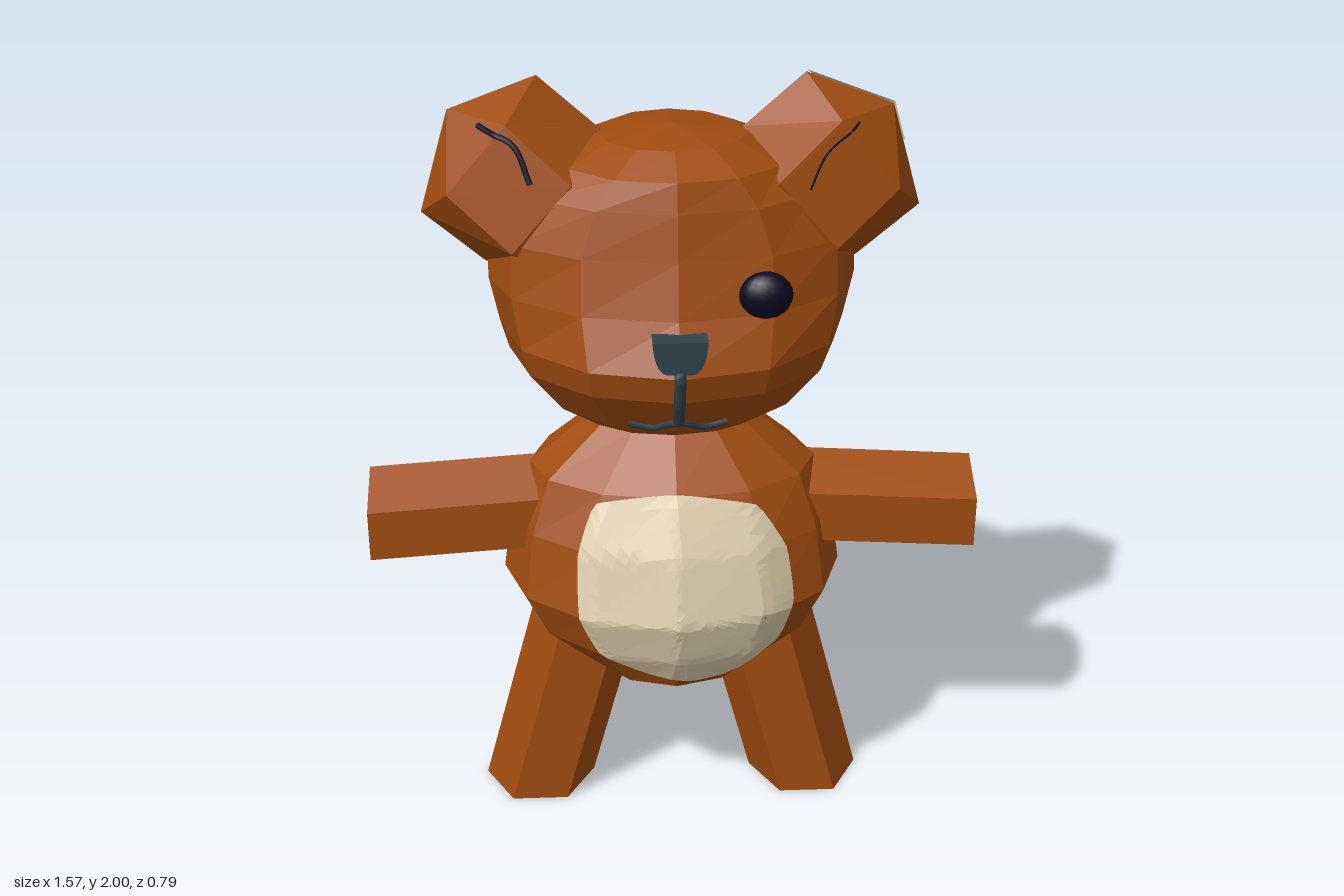
import * as THREE from 'three';

const mat = (name, color) => {
  const m = new THREE.MeshStandardMaterial({ color });
  m.name = name;
  return m;
};

// Skin a stack of point rings (counterclockwise around the stacking axis), closing both ends.
function loft(rings, side = 1) {
  const pos = [];
  const tri = (a, b, c) => {
    for (const p of side > 0 ? [a, b, c] : [a, c, b]) pos.push(p.x * side, p.y, p.z);
  };
  const n = rings[0].length;
  const mid = r => r.reduce((s, p) => s.add(p), new THREE.Vector3()).divideScalar(n);
  const first = rings[0], last = rings[rings.length - 1];
  const c0 = mid(first), c1 = mid(last);
  for (let i = 0; i < n; i++) {
    const j = (i + 1) % n;
    tri(c0, first[j], first[i]);
    tri(c1, last[i], last[j]);
    for (let k = 0; k + 1 < rings.length; k++) {
      const a = rings[k], b = rings[k + 1];
      tri(a[i], a[j], b[j]);
      tri(a[i], b[j], b[i]);
    }
  }
  const g = new THREE.BufferGeometry();
  g.setAttribute('position', new THREE.Float32BufferAttribute(pos, 3));
  g.computeVertexNormals();
  return g;
}

const ring = (n, f) => Array.from({ length: n }, (_, i) => f((i / n) * Math.PI * 2));

// Rounded volume from rows of [y, half width, front z, back z].
const blob = rows => loft(rows.map(([y, rx, zf, zb]) => ring(12, t => {
  const c = Math.cos(t);
  return new THREE.Vector3(rx * Math.sin(t), y, c > 0 ? c * zf : -c * zb);
})));

// Height of a mesh's front surface at x, y.
function frontZ(mesh, x, y, fallback = 0.1) {
  const ray = new THREE.Raycaster(new THREE.Vector3(x, y, 3), new THREE.Vector3(0, 0, -1));
  const hit = ray.intersectObject(mesh)[0];
  return hit ? hit.point.z : fallback;
}

export function createModel() {
  const fur = mat('brown fur', 0xa04c10);
  const cream = mat('cream', 0xe0cfae);
  const slate = mat('slate', 0x2f424b);
  const navy = mat('dark navy', 0x0b0a22);
  fur.flatShading = cream.flatShading = true;
  cream.side = THREE.DoubleSide;

  const model = new THREE.Group();
  model.name = 'bear';
  const add = (name, geometry, material) => {
    const m = new THREE.Mesh(geometry, material);
    m.name = name;
    model.add(m);
    return m;
  };
  // Thin line lying on a mesh's front surface.
  const drawOn = (mesh, name, pts, radius, material) => {
    const curve = new THREE.CatmullRomCurve3(pts.map(([x, y]) => new THREE.Vector3(x, y, 0)));
    const path = new THREE.CatmullRomCurve3(curve.getPoints(12).map(p =>
      p.setZ(frontZ(mesh, p.x, p.y))));
    return add(name, new THREE.TubeGeometry(path, 24, radius, 6), material);
  };

  // Body and head
  const body = add('body', blob([
    [0.32, 0, 0, 0], [0.37, 0.13, 0.12, -0.15], [0.45, 0.24, 0.26, -0.29],
    [0.56, 0.38, 0.32, -0.33], [0.68, 0.445, 0.355, -0.365], [0.85, 0.42, 0.31, -0.33],
    [0.99, 0.37, 0.24, -0.285], [1.12, 0.21, 0.13, -0.18],
  ]), fur);
  const head = add('head', blob([
    [1.1, 0.18, 0.11, -0.15], [1.12, 0.22, 0.14, -0.17], [1.2, 0.32, 0.29, -0.24],
    [1.31, 0.41, 0.37, -0.355], [1.38, 0.43, 0.39, -0.37], [1.5, 0.455, 0.33, -0.385],
    [1.63, 0.45, 0.29, -0.39], [1.74, 0.38, 0.265, -0.365], [1.81, 0.29, 0.245, -0.31],
    [1.86, 0.18, 0.16, -0.2], [1.885, 0, 0, 0],
  ]), fur);

  // Belly patch: a disc draped over the body
  const outline = new THREE.CatmullRomCurve3([
    [0, 1.0], [-0.2, 0.97], [-0.25, 0.84], [-0.25, 0.68], [-0.2, 0.57], [-0.08, 0.5],
    [0.05, 0.47], [0.19, 0.49], [0.27, 0.58], [0.3, 0.7], [0.28, 0.84], [0.2, 0.96],
  ].map(([x, y]) => new THREE.Vector3(x, y, 0)), true, 'catmullrom', 0.2).getPoints(48);
  const disc = new THREE.RingGeometry(0, 1, 48, 10);
  const dp = disc.attributes.position;
  for (let r = 0, i = 0; r <= 10; r++) {
    for (let s = 0; s <= 48; s++, i++) {
      const x = THREE.MathUtils.lerp(0.02, outline[s].x, r / 10);
      const y = THREE.MathUtils.lerp(0.72, outline[s].y, r / 10);
      dp.setXYZ(i, x, y, frontZ(body, x, y) + 0.007);
    }
  }
  add('bellyPatch', disc, cream);

  // Ear rings run along an axis that leans outward: [along, radius, depth scale]
  const axis = new THREE.Vector3(0.755, 0.655, 0), up = new THREE.Vector3(-0.655, 0.755, 0);
  const earPoint = (s, t, z) => new THREE.Vector3(0.4, 1.77, z - 0.025)
    .addScaledVector(axis, s).addScaledVector(up, t);
  const earRings = [[-0.24, 0.16, 1], [-0.11, 0.22, 1], [0.09, 0.222, 0.7], [0.2, 0, 0]]
    .map(([s, r, d]) => ring(6, a =>
      earPoint(s, r * Math.cos(a) + (s === 0.2 ? 0.02 : 0), r * d * Math.sin(a))));
  const ears = {};

  for (const [label, side] of [['left', 1], ['right', -1]]) {
    ears[label] = add(label + 'Ear', loft(earRings, side), fur);

    // Six-sided arm and leg
    add(label + 'Arm', loft([[0.25, 0.87], [0.785, 0.835]].map(([x, y]) => ring(6, a =>
      new THREE.Vector3(x, y + 0.135 * Math.cos(a), -0.02 + 0.156 * Math.sin(a)))), side), fur);
    add(label + 'Leg', loft([[0, 0.37], [0.6, 0.21]].map(([y, x]) => ring(6, a => {
      const t = a + Math.PI / 6;
      return new THREE.Vector3(x + 0.15 * Math.sin(t), y, -0.02 + 0.156 * Math.cos(t));
    })), side), fur);
  }

  // Cream patch on the back of the left ear tip
  const rim = earRings[2], tip = earRings[3][0];
  const fan = [
    rim[3].clone().lerp(tip, 0.62), rim[5].clone().lerp(rim[4], 0.5), rim[5], rim[0],
  ];
  const patch = [];
  for (let i = 0; i < 3; i++) {
    for (const p of [tip, fan[i], fan[i + 1]]) {
      const q = p.clone().addScaledVector(axis, 0.005);
      patch.push(q.x, q.y, q.z - 0.003);
    }
  }
  const patchGeo = new THREE.BufferGeometry();
  patchGeo.setAttribute('position', new THREE.Float32BufferAttribute(patch, 3));
  patchGeo.computeVertexNormals();
  add('earPatch', patchGeo, cream);

  // Thin ear marks
  drawOn(ears.right, 'rightEarMark', [[-0.46, 1.9], [-0.38, 1.87], [-0.34, 1.78]], 0.008, navy);
  drawOn(ears.left, 'leftEarMark', [[0.32, 1.76], [0.36, 1.84], [0.44, 1.9]], 0.003, navy);

  // Single eye
  const eye = add('eye', new THREE.SphereGeometry(1, 16, 12), navy);
  eye.scale.set(0.064, 0.057, 0.042);
  eye.position.set(0.205, 1.555, 0.303);

  // Nose
  const nose = new THREE.Shape();
  nose.moveTo(-0.065, 1.475);
  nose.quadraticCurveTo(-0.06, 1.4, -0.03, 1.395);
  nose.lineTo(0.03, 1.395);
  nose.quadraticCurveTo(0.06, 1.4, 0.065, 1.475);
  const noseGeo = new THREE.ExtrudeGeometry(nose, {
    depth: 0.06, bevelEnabled: false, curveSegments: 5,
  });
  add('nose', noseGeo, slate).position.z = 0.334;

  // Mouth
  drawOn(head, 'mouthStem', [[0, 1.41], [0, 1.32], [0, 1.235]], 0.014, slate);
  drawOn(head, 'mouth', [
    [-0.12, 1.222], [-0.06, 1.212], [0, 1.238], [0.06, 1.212], [0.12, 1.222],
  ], 0.01, slate);

  return model;
}
